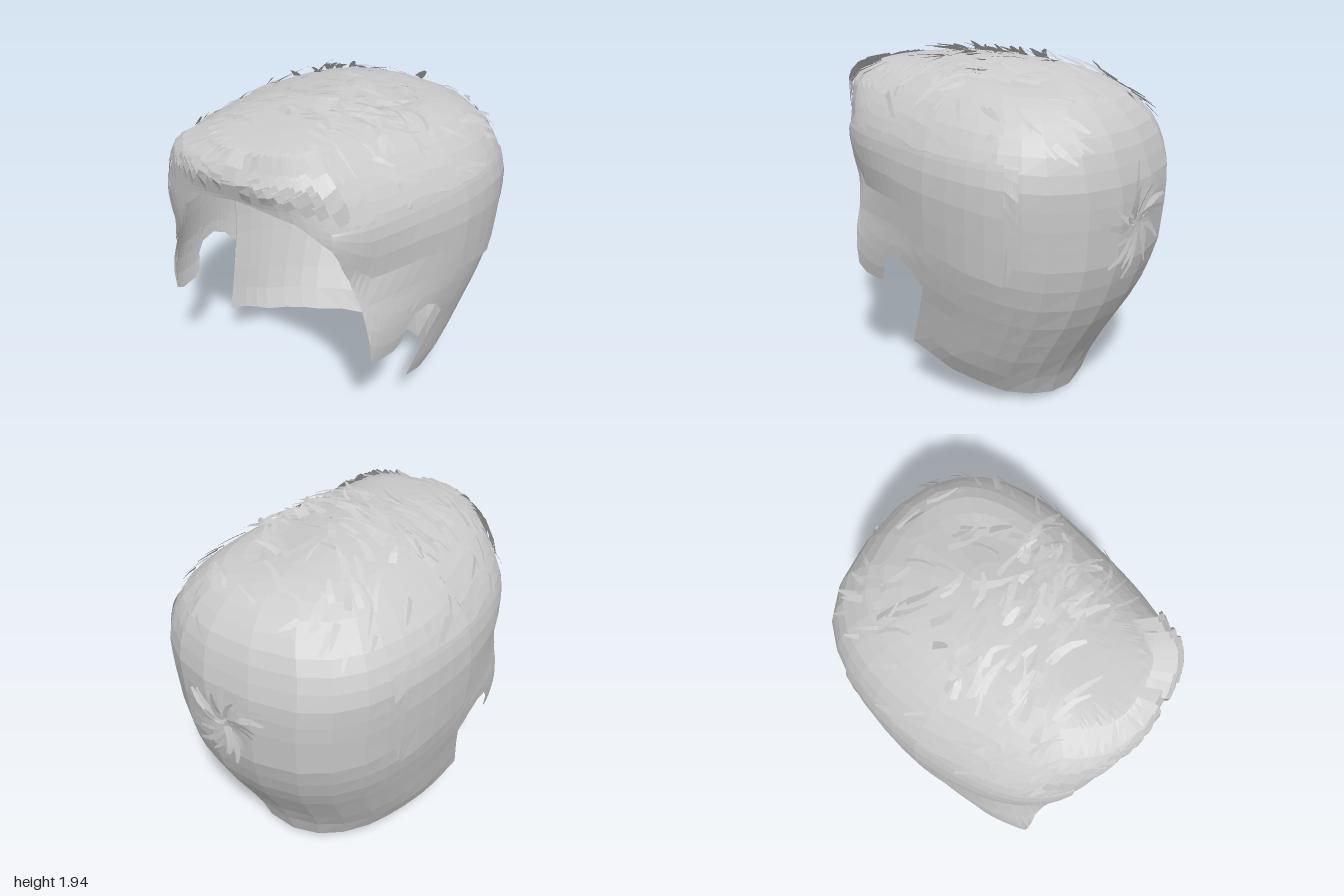
import * as THREE from 'three';
import { mergeGeometries } from 'three/addons/utils/BufferGeometryUtils.js';

// Head slices: height, half width, front z, back z, middle z
const SLICES = [
  [0.00, 0.50, 1.25, -0.49, 0.36], [0.20, 0.60, 1.25, -0.56, 0.28], [0.30, 0.64, 1.25, -0.62, 0.25],
  [0.60, 0.70, 1.22, -0.80, 0.12], [0.72, 0.73, 1.20, -0.85, 0.07], [0.90, 0.765, 1.14, -0.905, 0.02],
  [1.20, 0.79, 0.97, -0.93, 0.01], [1.35, 0.795, 0.92, -0.92, 0.01], [1.50, 0.765, 0.92, -0.88, 0.01],
  [1.62, 0.69, 0.94, -0.82, 0.01], [1.72, 0.59, 0.97, -0.72, 0.02], [1.80, 0.47, 0.94, -0.58, 0.03],
  [1.84, 0.37, 0.82, -0.43, 0.05], [1.865, 0.26, 0.62, -0.28, 0.07], [1.885, 0.13, 0.32, -0.10, 0.08],
  [1.895, 0, 0.09, 0.09, 0.09],
];
const TOP = 1.895;

function slice(y) {
  let i = 1;
  while (i < SLICES.length - 1 && SLICES[i][0] < y) i++;
  const p = SLICES[i - 1], q = SLICES[i];
  const t = THREE.MathUtils.clamp((y - p[0]) / (q[0] - p[0]), 0, 1);
  const [, w, f, b, c] = p.map((v, k) => v + (q[k] - v) * t);
  return { w, f, b, c };
}
const { smoothstep } = THREE.MathUtils;

// Squareness of a slice: the upper front is boxier than the back
const power = (y, front) => 2.45 + (front ? 0.95 : 0.15) * smoothstep(y, 1.15, 1.5);
const bend = (v, p) => Math.sign(v) * Math.pow(Math.abs(v), 2 / p);

// The head is slightly twisted and narrows towards the front above the ears
const skew = (z) => 0.16 * z * (1 - 1.1 * Math.abs(z) ** 3);
const taper = (y, z) => 1 - 0.16 * Math.max(0, z) * smoothstep(y, 0.7, 1.2);

// Hollow along the side parting
const hollow = (x, z) => 0.04 * Math.exp(-(((x - 0.27) / 0.16) ** 2) - ((z + 0.25) / 0.3) ** 2);

// Point on the head at angle a (0 front, PI back, positive to +x) and height y
function onHead(a, y, out = 0) {
  const s = slice(y), p = power(y, Math.cos(a) > 0);
  const c = bend(Math.cos(a), p), n = bend(Math.sin(a), p);
  const z = s.c + (c > 0 ? s.f - s.c : s.c - s.b) * c + out * c;
  const x = (s.w + out) * n * taper(y, z) - skew(z);
  return new THREE.Vector3(x, y + (y > 1.6 ? out * 0.5 - hollow(x, z) : 0), z);
}

// Angle at which height y reaches depth z
function angleAt(z, y) {
  const s = slice(y);
  const r = THREE.MathUtils.clamp((z - s.c) / (z > s.c ? s.f - s.c : s.c - s.b), -1, 1);
  return Math.acos(Math.sign(r) * Math.pow(Math.abs(r), power(y, r > 0) / 2));
}

// Height of the top surface over x, z
function topHeight(x, z) {
  let lo = 1.3, hi = TOP;
  for (let i = 0; i < 20; i++) {
    const y = (lo + hi) / 2, s = slice(y), d = z > s.c ? s.f - s.c : s.c - s.b, p = power(y, z > s.c);
    const r = (Math.abs(x + skew(z)) / (s.w * taper(y, z))) ** p + (Math.abs(z - s.c) / d) ** p;
    if (r < 1) lo = y; else hi = y;
  }
  return lo - (lo > 1.6 ? hollow(x, z) : 0);
}

function grid(cols) {
  const pos = [], idx = [], m = cols[0].length;
  cols.forEach((col) => col.forEach((p) => pos.push(p.x, p.y, p.z)));
  for (let i = 0; i < cols.length - 1; i++) for (let j = 0; j < m - 1; j++) {
    const a = i * m + j, b = a + m;
    idx.push(a, b, b + 1, a, b + 1, a + 1);
  }
  const g = new THREE.BufferGeometry();
  g.setAttribute('position', new THREE.Float32BufferAttribute(pos, 3));
  g.setIndex(idx);
  g.computeVertexNormals();
  return g;
}

// Hem given as [z, y] points, split finer and turned into [angle, y]
function hemAngles(points, split) {
  const res = [];
  points.forEach(([z, y], i) => {
    if (i === points.length - 1) return res.push([angleAt(z, y), y]);
    const [z2, y2] = points[i + 1];
    const a1 = angleAt(z, y), a2 = angleAt(z2, y2);
    for (let k = 0; k < split; k++) {
      const t = k / split;
      res.push([a1 + (a2 - a1) * t, y + (y2 - y) * t]);
    }
  });
  return res;
}

// Surface from the hem up to a top height
function loft(hem, top, rows, out) {
  return grid(hem.map(([a, y0]) => Array.from({ length: rows + 1 }, (_, j) => {
    const t = j / rows;
    return onHead(a, y0 + (top - y0) * Math.sin(t * Math.PI / 2), out(t));
  })));
}
const mirror = (hem) => hem.map(([a, y]) => [-a, y]).reverse();

// Tapered hair ribbon along a path, lying on the given normal
function ribbon(path, width, normal, tip = 0.35) {
  const n = path.length - 1, left = [], right = [];
  path.forEach((p, i) => {
    const dir = path[Math.min(i + 1, n)].clone().sub(path[Math.max(i - 1, 0)]);
    const t = i / n, w = width * (1 - (1 - tip) * t * t) / 2;
    const side = dir.cross(normal).normalize().multiplyScalar(w);
    left.push(p.clone().sub(side));
    right.push(p.clone().add(side));
  });
  return grid([left, right]);
}

export function createModel() {
  const group = new THREE.Group();
  const mat = new THREE.MeshStandardMaterial({ color: 0xcccccc, flatShading: true, side: THREE.DoubleSide });
  const add = (name, geo) => {
    const mesh = new THREE.Mesh(geo, mat);
    mesh.name = name;
    group.add(mesh);
  };
  let seed = 7;
  const rnd = (a, b) => {
    seed = (seed * 16807) % 2147483647;
    return a + (b - a) * seed / 2147483647;
  };

  // Main cap: hairline, sideburn, ear arch, nape
  const half = hemAngles([
    [0.95, 1.62], [0.90, 1.56], [0.80, 1.40], [0.71, 1.20], [0.68, 1.03], [0.66, 0.69], [0.60, 0.65],
    [0.47, 0.64], [0.42, 0.67], [0.40, 0.76], [0.34, 0.83], [0.24, 0.845], [0.15, 0.80], [0.07, 0.71],
    [0.25, 0.30], [0.00, 0.18], [-0.30, 0.07], [-0.49, 0.00],
  ], 3);
  add('hairCap', loft([...mirror(half), ...half.slice(1)], TOP, 22, () => 0));

  // Overlapping side layers
  const layer = hemAngles([
    [0.80, 1.40], [0.71, 1.20], [0.65, 1.03], [0.30, 1.04], [0.00, 0.98], [-0.47, 0.86], [-0.56, 1.07], [-0.50, 1.22],
  ], 4);
  const lift = (t) => 0.011 * (1 - t * t);
  add('leftSideLayer', loft(layer, 1.5, 5, lift));
  add('rightSideLayer', loft(mirror(layer), 1.5, 5, lift));

  // Broad locks rolling over the front edge
  const fringe = [];
  for (let i = 0; i < 24; i++) {
    const a = -0.9 + i * 0.076 + rnd(-0.02, 0.02);
    const low = 1.68 - 0.18 * a * a + rnd(-0.05, 0.04), sway = rnd(-0.04, 0.06);
    const path = [0, 0.25, 0.5, 0.75, 1].map((t) =>
      onHead(a + sway * t, 1.83 + (low - 1.83) * t, 0.004 + 0.018 * Math.sin(t * Math.PI)));
    const out = new THREE.Vector3(Math.sin(a), 0.4, Math.cos(a));
    fringe.push(ribbon(path, rnd(0.07, 0.11), out, 0.7));
  }
  add('fringeLocks', mergeGeometries(fringe));

  // Flat strands on the top, combed sideways in front and back behind
  const strands = [];
  for (let i = 0; i < 150; i++) {
    const z = i % 2 ? rnd(-0.05, 0.42) : rnd(-0.7, 0.6), x = rnd(-0.52, 0.48) - skew(z);
    const turn = z > -0.05 ? rnd(-0.2, 0.5) : rnd(0.5, 1.3);
    const len = rnd(0.08, 0.22), rise = rnd(0.002, 0.05), curl = rnd(-0.5, 0.5);
    const path = [0, 0.33, 0.67, 1].map((t) => {
      const px = x + Math.cos(turn + curl * t) * len * t, pz = z + Math.sin(turn + curl * t) * len * t;
      return new THREE.Vector3(px, topHeight(px, pz) + 0.004 + rise * t, pz);
    });
    const normal = new THREE.Vector3(x * 0.8 + rnd(-0.3, 0.3), 1, z * 0.4 + rnd(-0.3, 0.3));
    strands.push(ribbon(path, rnd(0.02, 0.055), normal));
  }
  add('topStrands', mergeGeometries(strands));

  // Strands lying on the upper sides and back
  const sides = [];
  for (let i = 0; i < 40; i++) {
    const a = (i % 2 ? 1 : -1) * rnd(0.9, 2.9), y = rnd(1.56, 1.76), drop = rnd(0.03, 0.1), sweep = rnd(0.05, 0.15);
    const path = [0, 0.5, 1].map((t) => onHead(a + Math.sign(a) * sweep * t, y - drop * t, 0.005 + 0.02 * t));
    sides.push(ribbon(path, rnd(0.02, 0.045), new THREE.Vector3(Math.sin(a), 0.5, Math.cos(a))));
  }
  add('sideStrands', mergeGeometries(sides));

  // Whorl of radiating strands at the back of the crown
  const whorl = [];
  for (let i = 0; i < 24; i++) {
    const ang = i * 2.4, len = rnd(0.1, 0.24), start = rnd(0.01, 0.06), rise = rnd(0.01, 0.045);
    const path = [0, 0.35, 0.7, 1].map((t) => {
      const r = start + len * t, q = ang + 0.4 * t;
      const x = 0.17 + Math.cos(q) * r, y = 1.13 + Math.sin(q) * r * 1.1;
      const s = slice(y), p = power(y, false), k = Math.min(1, Math.abs(x + skew(-0.88)) / s.w);
      return new THREE.Vector3(x, y, s.c - (s.c - s.b) * Math.pow(1 - k ** p, 1 / p) - 0.004 - rise * t);
    });
    whorl.push(ribbon(path, rnd(0.025, 0.05), new THREE.Vector3(rnd(-0.4, 0.4), rnd(-0.4, 0.4), -1)));
  }
  add('crownWhorl', mergeGeometries(whorl));

  return group;
}
